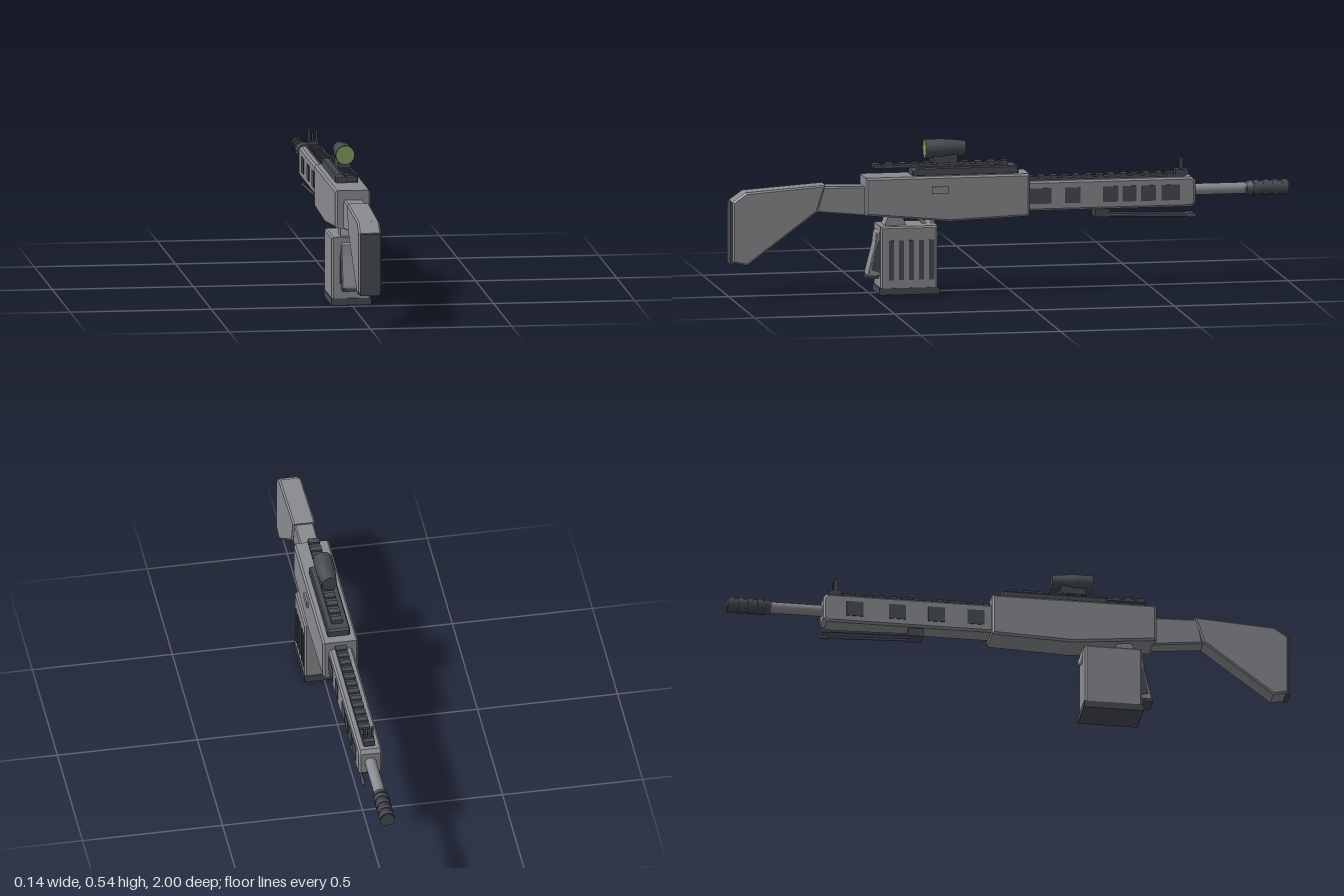
import * as THREE from 'three';

const material = (name, color) => {
  const m = new THREE.MeshStandardMaterial({ color });
  m.name = name;
  return m;
};

export function createModel() {
  const body = material('body grey', 0x8a8b8f);
  const dark = material('dark grey', 0x464a51);
  const lensGreen = material('lens green', 0x7f9a5b);
  const brass = material('brass', 0xa08c5a);

  const model = new THREE.Group();
  model.name = 'rifle';

  const add = (name, geometry, mat, x = 0, y = 0, z = 0, parent = model) => {
    const mesh = new THREE.Mesh(geometry, mat);
    mesh.name = name;
    mesh.position.set(x, y, z);
    parent.add(mesh);
    return mesh;
  };

  const group = (name) => {
    const g = new THREE.Group();
    g.name = name;
    model.add(g);
    return g;
  };

  // Box given by its limits on each axis
  const block = (name, mat, [x0, x1], [y0, y1], [z0, z1], parent) =>
    add(name, new THREE.BoxGeometry(x1 - x0, y1 - y0, z1 - z0), mat,
      (x0 + x1) / 2, (y0 + y1) / 2, (z0 + z1) / 2, parent);

  // Side outline of [z, y] points, extruded across x with chamfered edges
  const slab = (name, mat, points, halfWidth, bevel, parent) => {
    const shape = new THREE.Shape(points.map(([z, y]) => new THREE.Vector2(z, y)));
    const depth = 2 * (halfWidth - bevel);
    const g = new THREE.ExtrudeGeometry(shape, {
      depth, bevelEnabled: bevel > 0, bevelThickness: bevel,
      bevelSize: bevel, bevelOffset: -bevel, bevelSegments: 1,
    });
    g.translate(0, 0, -depth / 2).rotateY(-Math.PI / 2);
    return add(name, g, mat, 0, 0, 0, parent);
  };

  // Round part along z, from z0 (radius r0) to z1 (radius r1), with z1 > z0
  const round = (name, mat, y, z0, z1, r0, r1, parent, sides = 24) => {
    const g = new THREE.CylinderGeometry(r1, r0, z1 - z0, sides).rotateX(Math.PI / 2);
    return add(name, g, mat, 0, y, (z0 + z1) / 2, parent);
  };

  // Thin rod between two points
  const rod = (name, mat, a, b, radius, parent) => {
    const path = new THREE.LineCurve3(new THREE.Vector3(...a), new THREE.Vector3(...b));
    const g = new THREE.TubeGeometry(path, 1, radius, 8);
    g.computeBoundingBox();
    const tube = add(name, g, mat, 0, 0, 0, parent);
    for (const p of [a, b]) add(name + 'End', new THREE.SphereGeometry(radius, 8, 6), mat, ...p, parent);
    return tube;
  };

  // Rail with evenly spaced teeth
  const rail = (name, y, z0, z1, halfWidth, height, teeth) => {
    const g = group(name);
    block('railStrip', dark, [-halfWidth, halfWidth], [y, y + height * 0.55], [z0, z1], g);
    const pitch = (z1 - z0) / (teeth - 0.45);
    for (let i = 0; i < teeth; i++) {
      const z = z0 + i * pitch;
      block('railTooth', dark, [-halfWidth, halfWidth], [y + height * 0.5, y + height], [z, z + pitch * 0.55], g);
    }
  };

  // Stock, butt pad and neck
  slab('stock', body, [[0.993, 0.125], [0.993, 0.34], [0.945, 0.373], [0.66, 0.392], [0.69, 0.297], [0.94, 0.113]], 0.04, 0.006);
  block('buttPad', dark, [-0.035, 0.035], [0.118, 0.338], [0.985, 1]);
  slab('neck', body, [[0.69, 0.295], [0.67, 0.386], [0.51, 0.382], [0.51, 0.277]], 0.034, 0.005);

  // Receiver and ejection port
  slab('receiver', body, [[0.52, 0.282], [0.52, 0.416], [-0.065, 0.416], [-0.065, 0.265], [0.22, 0.254]], 0.063, 0.007);
  block('ejectionPort', body, [0.06, 0.07], [0.355, 0.38], [0.225, 0.285]);

  // Handguard with dark windows
  slab('handguard', body, [[-0.05, 0.28], [-0.05, 0.385], [-0.65, 0.385], [-0.662, 0.372], [-0.662, 0.293], [-0.65, 0.28]], 0.042, 0.007);
  const windows = {
    1: [[-0.147, -0.07], [-0.25, -0.195], [-0.385, -0.33], [-0.45, -0.4], [-0.52, -0.467], [-0.605, -0.54]],
    '-1': [[-0.15, -0.09], [-0.29, -0.23], [-0.43, -0.37], [-0.58, -0.52]],
  };
  for (const [side, spans] of Object.entries(windows)) {
    for (const [z0, z1] of spans) {
      const pane = block('handguardWindow', dark, [-0.002, 0.002], [0.305, 0.36], [z0, z1]);
      pane.position.x = Number(side) * 0.0425;
    }
  }

  // Handguard rail and front sight
  rail('handguardRail', 0.383, -0.63, -0.066, 0.02, 0.018, 14);
  const sight = group('frontSight');
  block('sightBase', dark, [-0.02, 0.02], [0.39, 0.41], [-0.64, -0.595], sight);
  for (const x of [-0.014, 0, 0.014]) {
    block('sightPost', dark, [x - 0.004, x + 0.004], [0.4, x ? 0.452 : 0.44], [-0.622, -0.608], sight);
  }

  // Barrel and ribbed muzzle brake
  round('barrel', body, 0.335, -0.87, -0.65, 0.02, 0.02);
  const brake = group('muzzleBrake');
  round('brakeCore', dark, 0.335, -1, -0.85, 0.024, 0.024, brake);
  for (const z of [-0.996, -0.962, -0.928, -0.894]) {
    round('brakeRib', dark, 0.335, z, z + 0.02, 0.028, 0.028, brake, 12);
  }
  round('brakeCollar', dark, 0.335, -0.87, -0.845, 0.028, 0.022, brake);

  // Folded bipod
  const bipod = group('bipod');
  block('bipodMount', dark, [-0.028, 0.028], [0.25, 0.284], [-0.358, -0.305], bipod);
  for (const side of [-1, 1]) {
    rod('bipodLeg', dark, [side * 0.022, 0.256, -0.34], [side * 0.026, 0.246, -0.66], 0.005, bipod);
    rod('bipodFoot', dark, [side * 0.026, 0.246, -0.64], [side * 0.026, 0.246, -0.662], 0.007, bipod);
  }

  // Optic base, rail and scope
  slab('opticBase', dark, [[0.35, 0.413], [0.35, 0.437], [0.343, 0.444], [-0.023, 0.444], [-0.03, 0.437], [-0.03, 0.413]], 0.04, 0.004);
  rail('opticRail', 0.443, 0.005, 0.485, 0.02, 0.016, 11);
  const scope = group('scope');
  block('scopeMount', dark, [-0.023, 0.023], [0.457, 0.49], [0.185, 0.275], scope);
  round('scopeFrontTube', dark, 0.506, 0.235, 0.298, 0.034, 0.034, scope, 32);
  round('scopeRearTube', dark, 0.506, 0.155, 0.235, 0.026, 0.034, scope, 32);
  round('scopeLens', lensGreen, 0.506, 0.295, 0.3, 0.032, 0.032, scope, 32);

  // Magazine, its base plate, feed neck and slots
  const magazine = group('magazine');
  slab('magazineBox', body, [[0.468, 0.015], [0.468, 0.242], [0.265, 0.242], [0.265, 0.015]], 0.069, 0.006, magazine);
  block('magazineBase', dark, [-0.071, 0.071], [0, 0.024], [0.26, 0.473], magazine);
  slab('feedNeck', body, [[0.45, 0.236], [0.43, 0.29], [0.39, 0.29], [0.37, 0.236]], 0.035, 0, magazine);
  for (let i = 0; i < 5; i++) {
    const z = 0.431 - i * 0.036;
    block('magazineSlot', dark, [0.067, 0.0715], [0.052, 0.193], [z - 0.009, z + 0.009], magazine);
  }
  rod('feedLink', brass, [0, 0.275, 0.335], [0, 0.236, 0.295], 0.007, magazine);
  rod('magazineCatch', body, [0, 0.275, 0.28], [0, 0.2, 0.256], 0.008, magazine);

  // Slanted grip plate behind the magazine
  slab('gripPlate', body, [[0.465, 0.225], [0.478, 0.215], [0.482, 0.175], [0.508, 0.072], [0.508, 0.062], [0.465, 0.062]], 0.037, 0.003);
  block('gripFoot', dark, [-0.035, 0.035], [0.054, 0.065], [0.464, 0.511]);
  for (const side of [-1, 1]) {
    const edge = slab('gripEdge', dark, [[0.465, 0.2], [0.476, 0.175], [0.495, 0.085], [0.465, 0.075]], 0.002, 0);
    edge.position.x = side * 0.038;
  }

  return model;
}
